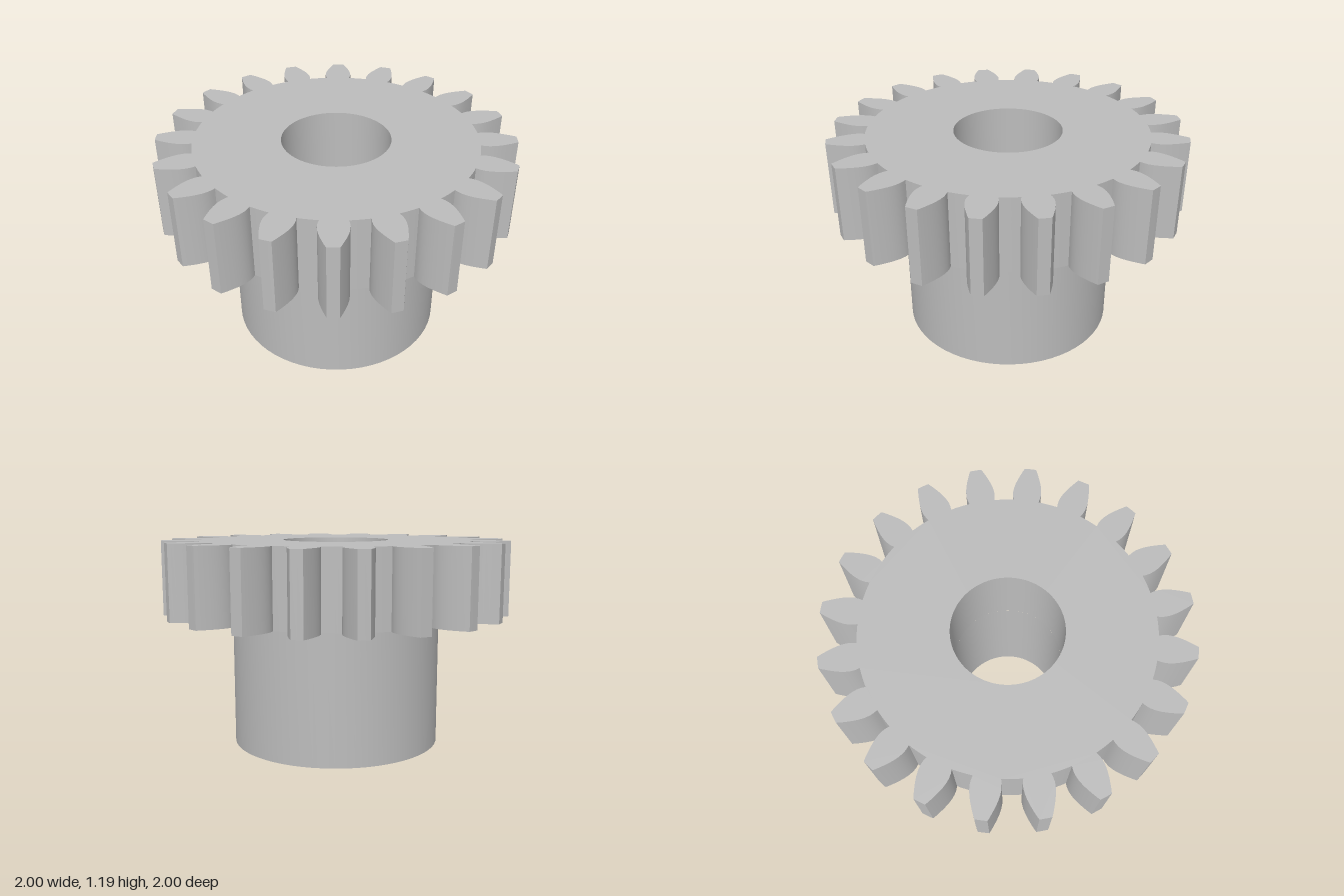
import * as THREE from 'three';
import { toCreasedNormals } from 'three/addons/utils/BufferGeometryUtils.js';

const TEETH = 20, BORE = 0.305, HUB = 0.605, HUB_TOP = 0.763, TOP = 1.187, ROOT = 0.792;

// Half of one tooth: distance from the axis, half width
const FLANK = [[0.789, 0.07], [0.81, 0.076], [0.835, 0.079], [0.865, 0.077],
  [0.895, 0.071], [0.925, 0.062], [0.955, 0.051], [0.98, 0.041], [0.9995, 0.032]];

function gearOutline() {
  const shape = new THREE.Shape();
  const pitch = Math.PI * 2 / TEETH;
  const rootHalf = Math.atan2(FLANK[0][1], FLANK[0][0]);
  const points = [];
  for (let i = 0; i < TEETH; i++) {
    const a = i * pitch, c = Math.cos(a), s = Math.sin(a);
    const add = (r, w) => points.push(new THREE.Vector2(r * c - w * s, r * s + w * c));
    FLANK.forEach(([r, w]) => add(r, -w));
    add(1, 0);
    [...FLANK].reverse().forEach(([r, w]) => add(r, w));
    // Root arc up to the next tooth
    for (let k = 1; k < 4; k++) {
      const t = a + rootHalf + (pitch - 2 * rootHalf) * k / 4;
      points.push(new THREE.Vector2(ROOT * Math.cos(t), ROOT * Math.sin(t)));
    }
  }
  shape.setFromPoints(points);
  shape.holes.push(new THREE.Path().absarc(0, 0, BORE, 0, Math.PI * 2, true));
  return shape;
}

export function createModel() {
  const group = new THREE.Group();
  group.name = 'spurGear';
  const steel = new THREE.MeshStandardMaterial({ color: 0xbcbcbc });
  steel.name = 'grey steel';

  // Toothed wheel with a bore
  const wheelGeometry = new THREE.ExtrudeGeometry(gearOutline(), {
    depth: TOP - HUB_TOP, bevelEnabled: false, curveSegments: 64 });
  wheelGeometry.rotateX(-Math.PI / 2).translate(0, HUB_TOP, 0);
  const wheel = new THREE.Mesh(toCreasedNormals(wheelGeometry, 0.5), steel);
  wheel.name = 'toothedWheel';

  // Hollow hub below the wheel
  const profile = [[BORE, HUB_TOP], [BORE, 0], [HUB, 0], [HUB, HUB_TOP]]
    .map(([r, y]) => new THREE.Vector2(r, y));
  const hub = new THREE.Mesh(toCreasedNormals(new THREE.LatheGeometry(profile, 64), 0.5), steel);
  hub.name = 'hub';

  group.add(wheel, hub);
  return group;
}
